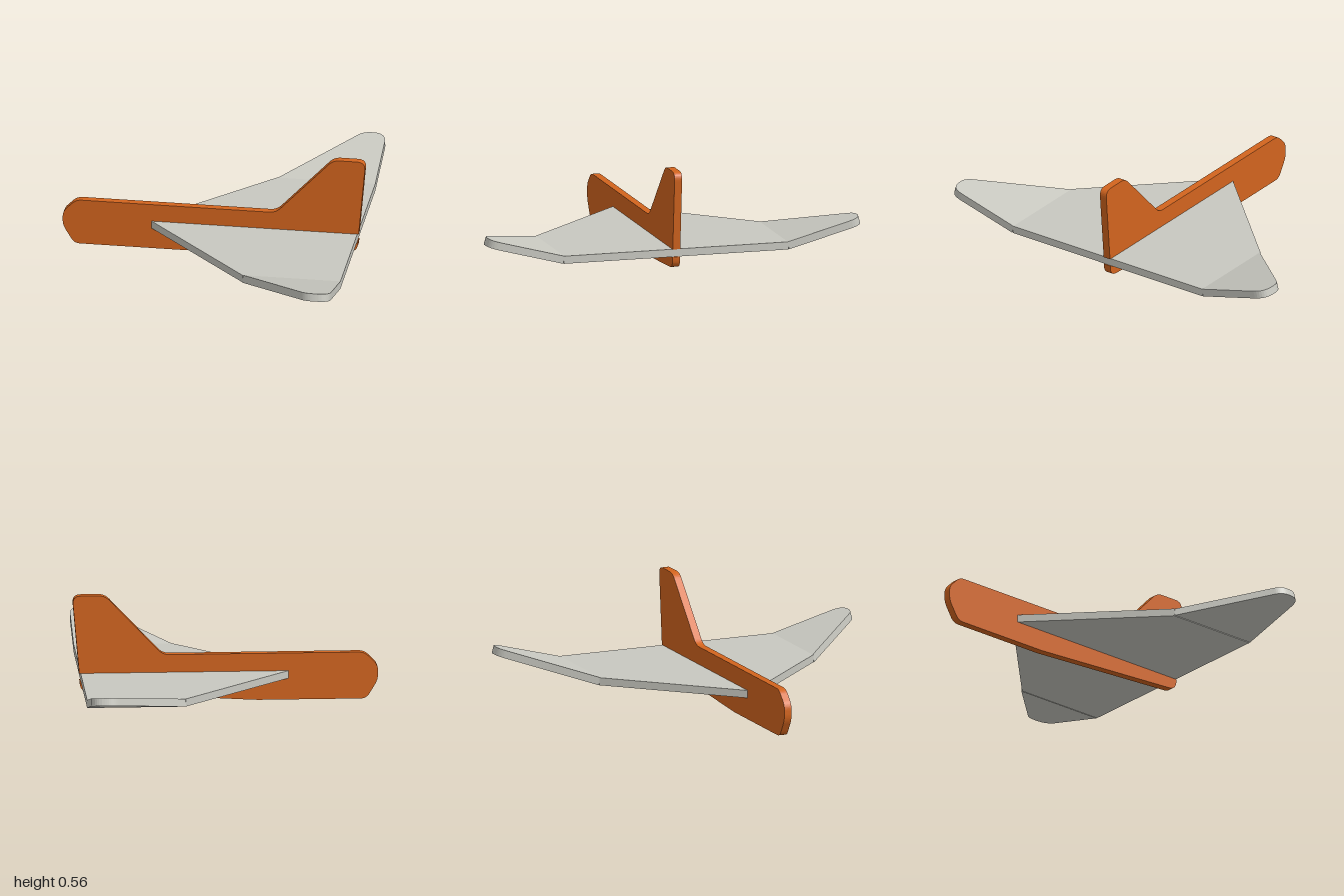
import * as THREE from 'three';

const THICK = 0.04;      // sheet thickness of every part
const WING_Y = 0.132;    // mid height of the wing
const FOLD_Z = 0.6;      // where the wing tips bend up
const DIHEDRAL = THREE.MathUtils.degToRad(15);

// Closed outline from [x, y, cornerRadius] points
function roundedShape(points) {
  const shape = new THREE.Shape();
  const n = points.length;
  points.forEach(([x, y, r = 0], i) => {
    const p = new THREE.Vector2(x, y);
    const prev = new THREE.Vector2(...points[(i + n - 1) % n].slice(0, 2));
    const next = new THREE.Vector2(...points[(i + 1) % n].slice(0, 2));
    const a = prev.sub(p).setLength(r).add(p);
    const b = next.sub(p).setLength(r).add(p);
    if (i === 0) shape.moveTo(a.x, a.y);
    else shape.lineTo(a.x, a.y);
    if (r > 0) shape.quadraticCurveTo(p.x, p.y, b.x, b.y);
  });
  shape.closePath();
  return shape;
}

// Flat sheet centred on its own mid plane
function sheet(name, points, material) {
  const geometry = new THREE.ExtrudeGeometry(roundedShape(points), {
    depth: THICK, bevelEnabled: false, curveSegments: 8,
  });
  geometry.translate(0, 0, -THICK / 2);
  const mesh = new THREE.Mesh(geometry, material);
  mesh.name = name;
  return mesh;
}

export function createModel() {
  const orange = new THREE.MeshStandardMaterial({ color: 0xd2641e });
  orange.name = 'orange sheet';
  const grey = new THREE.MeshStandardMaterial({ color: 0xc8c8c0 });
  grey.name = 'light grey sheet';

  const model = new THREE.Group();
  model.name = 'gliderPlane';

  // Fuselage with tail fin, notched at the back for the wing
  model.add(sheet('fuselageAndFin', [
    [-0.725, 0, 0.03], [-0.16, 0, 0.03], [0.742, 0.053, 0.045],
    [0.747, 0.112], [0.735, 0.112], [0.735, 0.152], [0.749, 0.152],
    [0.785, 0.56, 0.045], [0.617, 0.56, 0.035], [0.32, 0.245, 0.035],
    [-0.715, 0.245, 0.03], [-0.785, 0.175, 0.03], [-0.785, 0.1, 0.03],
  ], orange));

  // Flat middle of the delta wing
  const centre = sheet('wingCentre', [
    [-0.325, -0.02], [0.235, -FOLD_Z], [0.742, -FOLD_Z],
    [0.742, FOLD_Z], [0.235, FOLD_Z], [-0.325, 0.02],
  ], grey);
  centre.rotation.x = Math.PI / 2;
  centre.position.y = WING_Y;
  model.add(centre);

  // Upswept wing tips
  for (const [side, name] of [[1, 'frontWingTip'], [-1, 'backWingTip']]) {
    const tip = sheet(name, [
      [0.235, 0], [0.742, 0], [0.742, 0.409, 0.07], [0.622, 0.409, 0.04],
    ], grey);
    tip.rotation.x = side * (Math.PI / 2 - DIHEDRAL);
    tip.position.set(0, WING_Y, side * FOLD_Z);
    model.add(tip);
  }

  return model;
}
